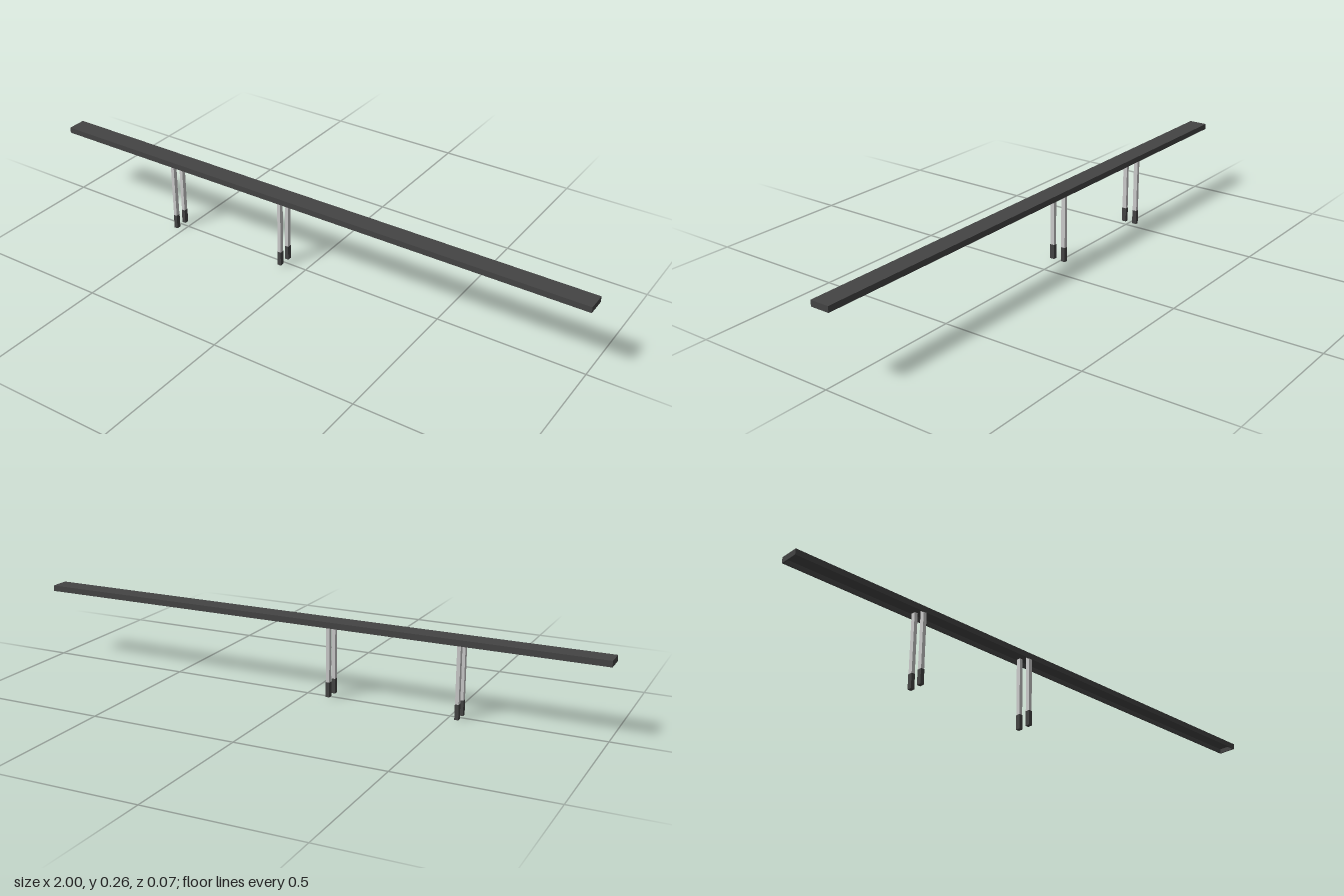
import * as THREE from 'three';

export function createModel() {
  const model = new THREE.Group();
  const grey = new THREE.MeshStandardMaterial({ color: 0xcccccc });
  const dark = new THREE.MeshStandardMaterial({ color: 0x444444 });

  function box(parent, name, size, pos, material) {
    const mesh = new THREE.Mesh(new THREE.BoxGeometry(...size), material);
    mesh.name = name;
    mesh.position.set(...pos);
    parent.add(mesh);
  }

  // Long rail: a shallow tray, open underneath
  const rail = new THREE.Group();
  rail.name = 'rail';
  model.add(rail);
  const bottom = 0.242, top = 0.262, half = 0.033, wall = 0.004;
  const wallHeight = top - wall - bottom;
  const wallY = bottom + wallHeight / 2;
  box(rail, 'railTop', [2, wall, half * 2], [0, top - wall / 2, 0], dark);
  for (const s of [1, -1]) {
    box(rail, 'railSide', [2, wallHeight, wall], [0, wallY, s * (half - wall / 2)], dark);
    box(rail, 'railEnd', [wall, wallHeight, (half - wall) * 2], [s * (1 - wall / 2), wallY, 0], dark);
  }

  // Two pairs of slim legs with dark feet; the second pair sits slightly higher
  const footHeight = 0.051, legTop = top - wall;
  for (const [x, base] of [[-0.53, 0], [-0.085, 0.006]]) {
    const pair = new THREE.Group();
    pair.name = 'legPair';
    model.add(pair);
    for (const z of [0.0245, -0.0195]) {
      const ankle = base + footHeight;
      box(pair, 'leg', [0.012, legTop - ankle, 0.015], [x, (legTop + ankle) / 2, z], grey);
      box(pair, 'foot', [0.013, footHeight, 0.016], [x, base + footHeight / 2, z], dark);
    }
  }
  return model;
}
